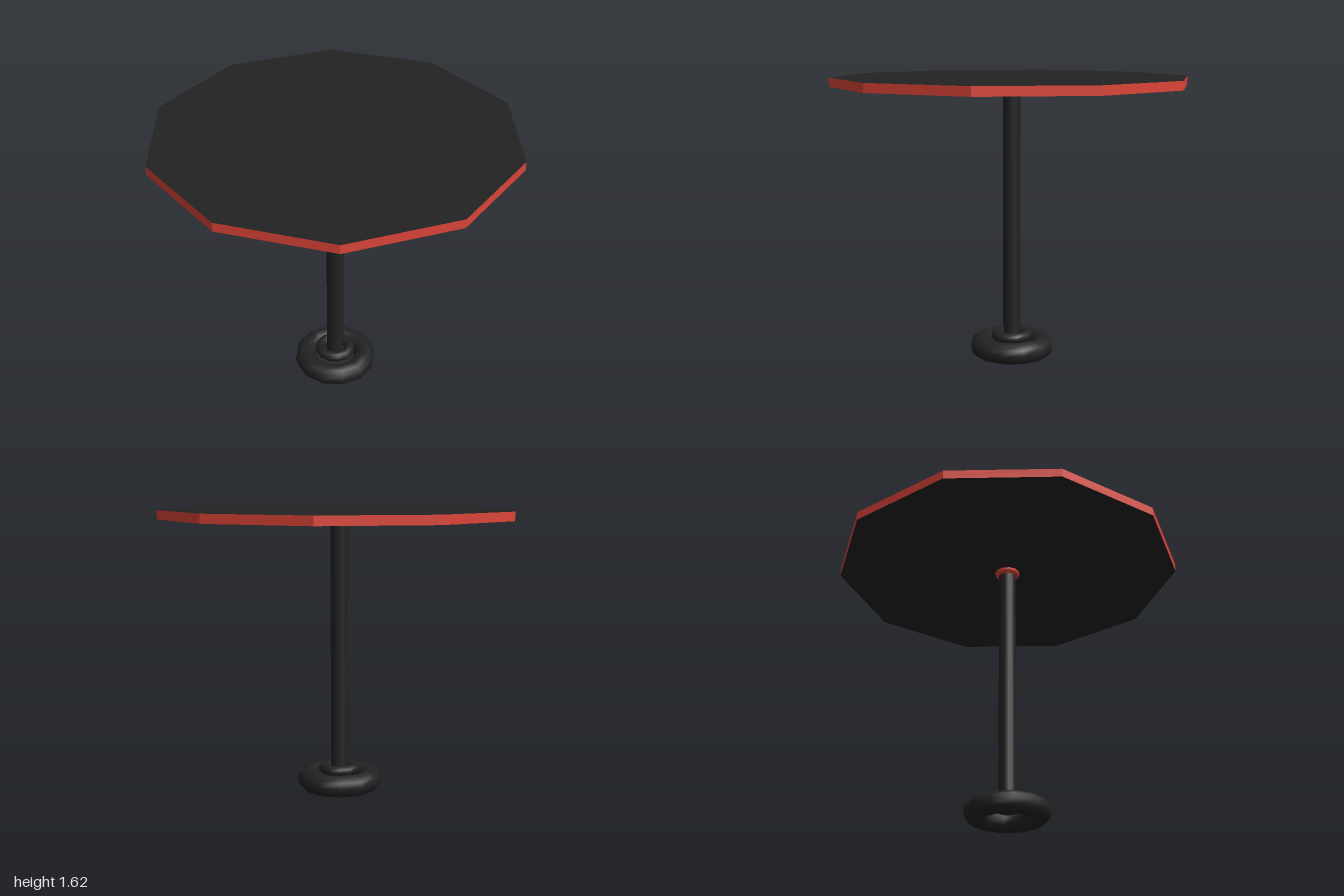
import * as THREE from 'three';

const dark = new THREE.MeshStandardMaterial({ color: 0x222222 });
const red = new THREE.MeshStandardMaterial({ color: 0xdb4437 });

export function createModel() {
  const table = new THREE.Group();
  table.name = 'table';

  const add = (name, geometry, material, y) => {
    const mesh = new THREE.Mesh(geometry, material);
    mesh.name = name;
    mesh.position.y = y;
    table.add(mesh);
  };

  // Horizontal ring centred on the post
  const ring = (radius, tube) =>
    new THREE.TorusGeometry(radius, tube, 12, 12).rotateX(Math.PI / 2);

  // Ten-sided top: dark faces, red edge band
  const top = new THREE.CylinderGeometry(1.012, 1.012, 0.05, 10, 1, false, -Math.PI / 4).toNonIndexed();
  top.computeVertexNormals();
  add('tableTop', top, [red, dark, dark], 1.595);

  // Post with a collar under the top
  add('post', new THREE.CylinderGeometry(0.05, 0.05, 1.52, 16), dark, 0.82);
  add('topCollar', ring(0.053, 0.021), red, 1.566);

  // Rounded foot ring and the smaller ring seated in it
  add('baseCollar', ring(0.089, 0.031), dark, 0.124);
  add('baseRing', ring(0.181, 0.0625), dark, 0.0625);

  return table;
}
